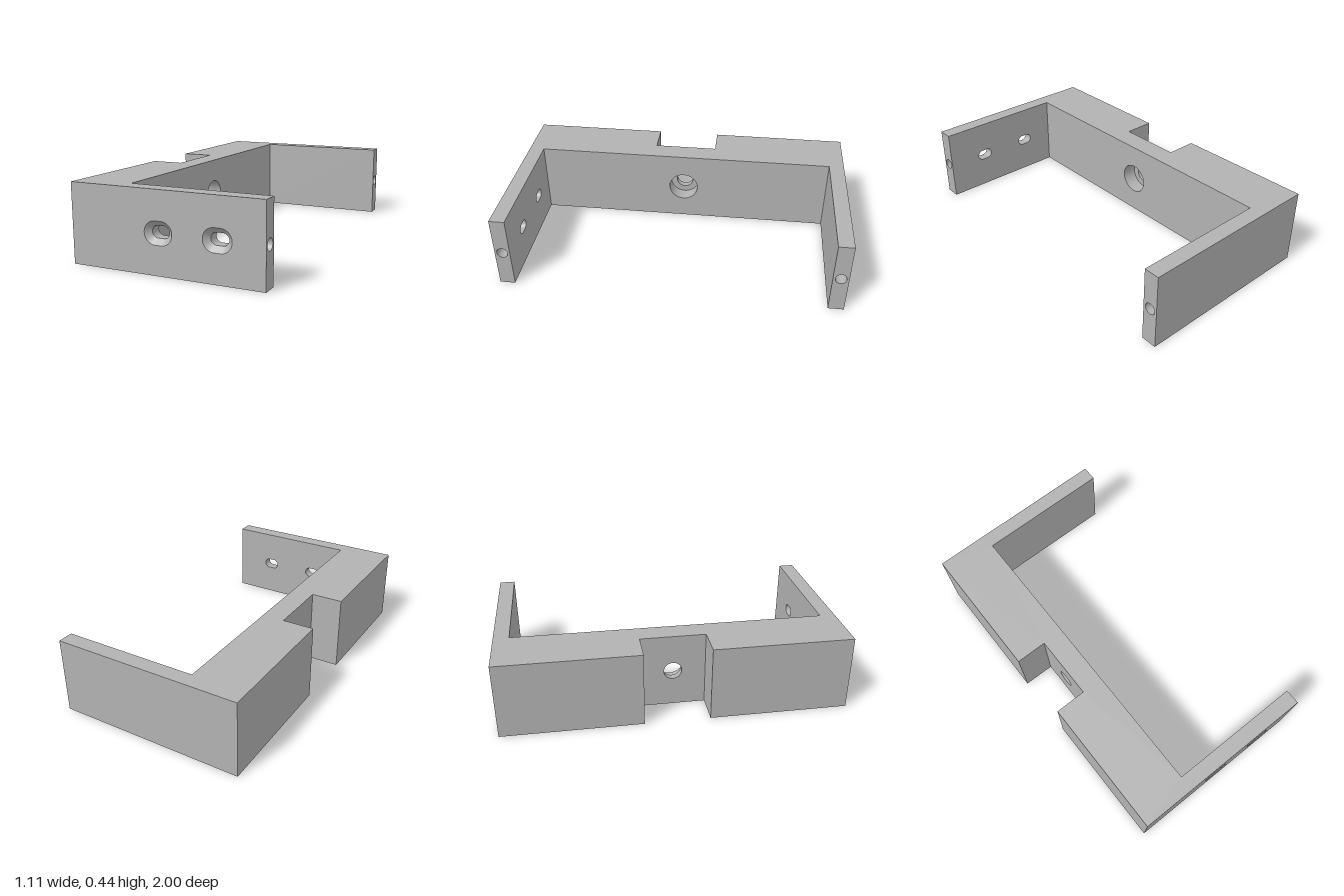
import * as THREE from 'three';

const HEIGHT = 0.445, MID = HEIGHT / 2, ARC = 24;

// Plan outline as [x, z], running so that every wall faces outward
const OUTLINE = [
  [-0.555, 1], [0.555, 1], [0.555, 0.91], [-0.24, 0.91], [-0.24, -0.91], [0.555, -0.91],
  [0.555, -1], [-0.555, -1], [-0.555, -0.19], [-0.37, -0.19], [-0.37, 0.19], [-0.555, 0.19],
];

// A hole: u along its wall, half length of the straight part,
// [radius, depth] stages from the mouth inward, and an optional floor
const slot = (u) => ({ name: 'countersunkSlot', u, half: 0.0175, stages: [[0.0625, 0], [0.0325, 0.03], [0.0325, 0.09]] });
const slotExit = (u) => ({ u, half: 0.0175, stages: [[0.0325, 0]] });
const endHole = { name: 'endHole', u: 0.045, half: 0, stages: [[0.032, 0], [0.032, 0.12]], floor: true };
const bore = { name: 'counterbore', u: 0.91, half: 0, stages: [[0.09, 0], [0.09, 0.09], [0.052, 0.09], [0.052, 0.13]] };

const WALLS = {
  0: { name: 'frontArmOuterFace', holes: [slot(0.525), slot(0.855)] },
  1: { name: 'frontArmEnd', holes: [endHole] },
  2: { name: 'frontArmInnerFace', holes: [slotExit(0.585), slotExit(0.255)] },
  3: { name: 'webInnerFace', holes: [bore] },
  4: { name: 'backArmInnerFace' },
  5: { name: 'backArmEnd', holes: [endHole] },
  6: { name: 'backArmOuterFace' },
  9: { name: 'notchFace', holes: [{ u: 0.19, half: 0, stages: [[0.052, 0]] }] },
};

// Counter-clockwise round or slotted loop
function loop({ u, half }, r) {
  const points = [];
  for (const side of [1, -1]) {
    for (let i = 0; i < ARC + (half ? 1 : 0); i++) {
      const a = Math.PI * (i / ARC - side / 2);
      points.push(new THREE.Vector2(u + side * half + r * Math.cos(a), MID + r * Math.sin(a)));
    }
  }
  return points;
}

// Inner surface between two stages of a hole
function holeBand(hole, [r0, d0], [r1, d1]) {
  const a = loop(hole, r0), b = loop(hole, r1), n = a.length;
  const position = [], index = [];
  a.forEach((p) => position.push(p.x, p.y, -d0));
  b.forEach((p) => position.push(p.x, p.y, -d1));
  for (let i = 0; i < n; i++) {
    const j = (i + 1) % n;
    index.push(i, j, n + i, j, n + j, n + i);
  }
  const geometry = new THREE.BufferGeometry();
  geometry.setAttribute('position', new THREE.Float32BufferAttribute(position, 3));
  geometry.setIndex(index);
  geometry.computeVertexNormals();
  return geometry;
}

export function createModel() {
  const model = new THREE.Group();
  model.name = 'mountingBracket';
  const grey = new THREE.MeshStandardMaterial({ color: 0xb2b2b2 });
  grey.name = 'plain grey';

  const add = (parent, geometry, name) => {
    const mesh = new THREE.Mesh(geometry, grey);
    mesh.name = name;
    parent.add(mesh);
    return mesh;
  };

  // Top and bottom faces
  const plan = (sign) => new THREE.Shape(OUTLINE.map(([x, z]) => new THREE.Vector2(x, sign * z)));
  add(model, new THREE.ShapeGeometry(plan(-1)).rotateX(-Math.PI / 2), 'topFace').position.y = HEIGHT;
  add(model, new THREE.ShapeGeometry(plan(1)).rotateX(Math.PI / 2), 'bottomFace');

  // Upright walls with their holes
  OUTLINE.forEach(([x0, z0], i) => {
    const [x1, z1] = OUTLINE[(i + 1) % OUTLINE.length];
    const { name = 'backSideFace', holes = [] } = WALLS[i] || {};
    const length = Math.hypot(x1 - x0, z1 - z0);
    const wall = new THREE.Group();
    wall.name = name;
    wall.position.set(x0, 0, z0);
    wall.rotation.y = Math.atan2(z0 - z1, x1 - x0);
    model.add(wall);

    const shape = new THREE.Shape([[0, 0], [length, 0], [length, HEIGHT], [0, HEIGHT]]
      .map(([x, y]) => new THREE.Vector2(x, y)));
    for (const hole of holes) {
      const { stages } = hole;
      shape.holes.push(new THREE.Path(loop(hole, stages[0][0])));
      for (let s = 1; s < stages.length; s++) add(wall, holeBand(hole, stages[s - 1], stages[s]), hole.name);
      if (hole.floor) {
        const [r, depth] = stages[stages.length - 1];
        add(wall, new THREE.ShapeGeometry(new THREE.Shape(loop(hole, r))), hole.name + 'Floor').position.z = -depth;
      }
    }
    add(wall, new THREE.ShapeGeometry(shape), name);
  });

  return model;
}
